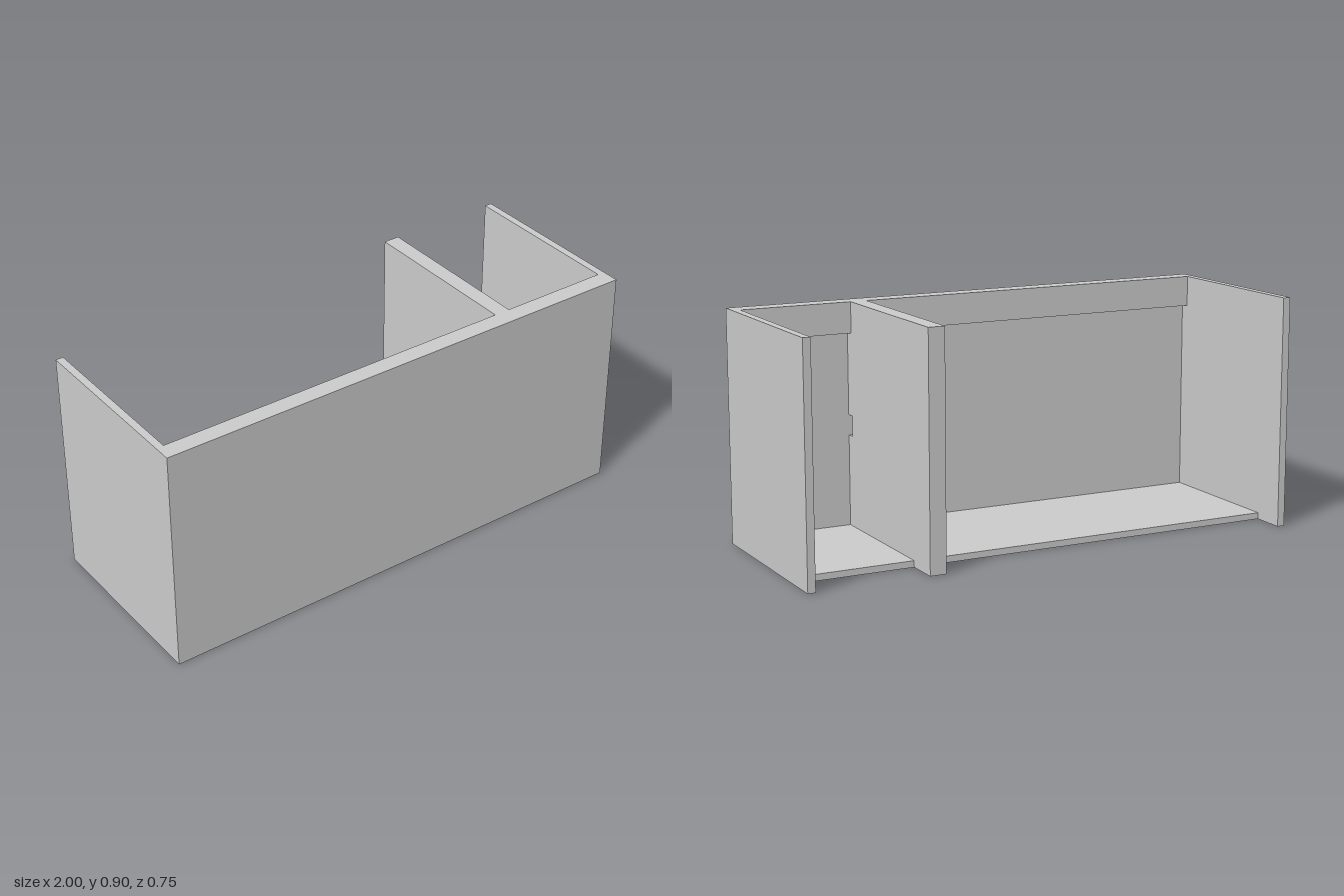
import * as THREE from 'three';

const H = 0.9, BACK = -0.375, FRONT = 0.375;
const INNER = 0.34;       // inner face of the front panel
const RAIL = 0.305;       // inner face of the top rail
const SIDE = 0.03;        // side panel thickness
const DIV = [0.465, 0.53]; // divider extent along x

export function createModel() {
  const model = new THREE.Group();
  model.name = 'counter';
  const material = new THREE.MeshStandardMaterial({ color: 0xcccccc, flatShading: true });

  const add = (name, geometry) => {
    const mesh = new THREE.Mesh(geometry, material);
    mesh.name = name;
    model.add(mesh);
  };
  // Box given by its extents along each axis
  const slab = (name, [x0, x1], [y0, y1], [z0, z1]) => {
    const g = new THREE.BoxGeometry(x1 - x0, y1 - y0, z1 - z0);
    g.translate((x0 + x1) / 2, (y0 + y1) / 2, (z0 + z1) / 2);
    add(name, g);
  };

  // Outer shell
  slab('frontPanel', [-1, 1], [0, H], [INNER, FRONT]);
  slab('rightSidePanel', [-1, -1 + SIDE], [0, H], [BACK, INNER]);
  slab('leftSidePanel', [1 - SIDE, 1], [0, H], [BACK, INNER]);

  // Divider: upright panel with a small cable notch against the front panel
  const profile = new THREE.Shape([
    [BACK, 0], [INNER, 0], [INNER, 0.38], [RAIL, 0.38],
    [RAIL, 0.46], [INNER, 0.46], [INNER, H], [BACK, H],
  ].map(([z, y]) => new THREE.Vector2(z, y)));
  const divider = new THREE.ExtrudeGeometry(profile, { depth: DIV[1] - DIV[0], bevelEnabled: false });
  divider.rotateY(-Math.PI / 2).translate(DIV[1], 0, 0);
  add('divider', divider);

  // Floor and top rail in each bay
  const bays = { wide: [-1 + SIDE, DIV[0]], narrow: [DIV[1], 1 - SIDE] };
  for (const [bay, span] of Object.entries(bays)) {
    slab(`${bay}BayFloor`, span, [0, 0.025], [-0.24, INNER]);
    slab(`${bay}BayTopRail`, span, [H - 0.12, H], [RAIL, INNER]);
  }
  return model;
}
